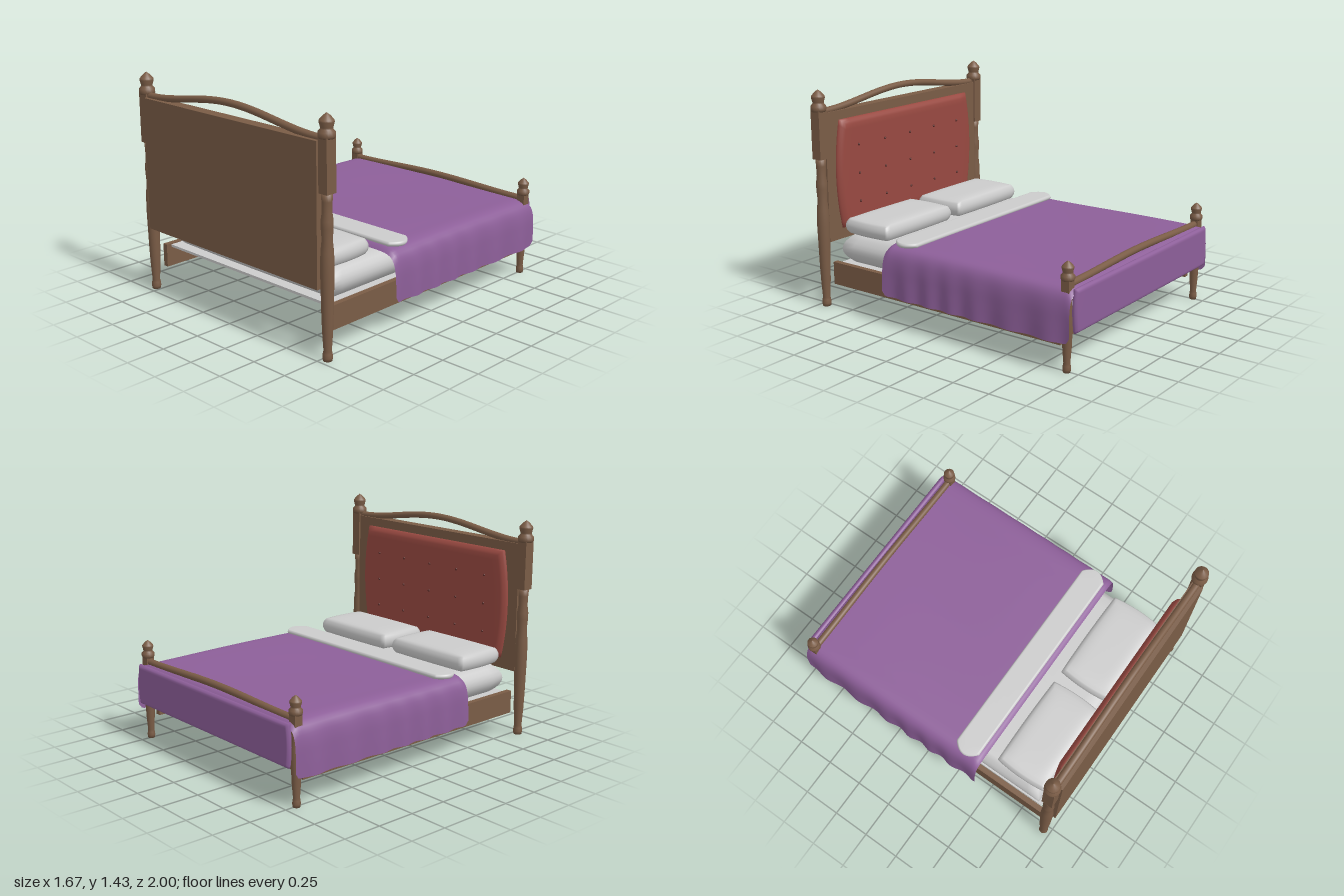
import * as THREE from 'three';
import { mergeVertices } from 'three/addons/utils/BufferGeometryUtils.js';

const paint = (color) => new THREE.MeshStandardMaterial({ color });
const wood = paint(0x7a5c46), red = paint(0x984941), linen = paint(0xcccccc), button = paint(0x5e2d29);
const purple = paint(0x8d5f99);
purple.side = THREE.DoubleSide;

export function createModel() {
  const bed = new THREE.Group();
  bed.name = 'bed';

  function add(name, geo, mat, x = 0, y = 0, z = 0, parent = bed) {
    const m = new THREE.Mesh(geo, mat);
    m.name = name;
    m.position.set(x, y, z);
    parent.add(m);
    return m;
  }
  const box = (name, w, h, d, mat, x, y, z, parent) =>
    add(name, new THREE.BoxGeometry(w, h, d), mat, x, y, z, parent);
  const turned = (points) =>
    new THREE.LatheGeometry(points.map(([r, y]) => new THREE.Vector2(r, y)), 20);

  // Stuffed slab: sides round outwards by edge, ends bow, faces fall off by dome
  function stuffed(w, h, d, { edge = 0.03, bowX = 0, bowZ = 0, dome = 0 }) {
    let g = new THREE.BoxGeometry(2, 2, 2, 20, 8, 20);
    g.deleteAttribute('uv');
    g.deleteAttribute('normal');
    g = mergeVertices(g);
    const p = g.attributes.position;
    for (let i = 0; i < p.count; i++) {
      const u = p.getX(i), t = p.getY(i), v = p.getZ(i);
      const inset = edge * t * t;
      const fall = 1 - dome * (1 - (1 - u ** 6) * (1 - v ** 6));
      p.setXYZ(i,
        u * (w / 2 - inset) * (1 - bowX * v * v),
        t * h / 2 * fall,
        v * (d / 2 - inset) * (1 - bowZ * u * u));
    }
    g.computeVertexNormals();
    return g;
  }

  // Gently arched round rail between two posts
  function archedRail(name, half, yEnd, rise, z, r) {
    const pts = [];
    for (let i = 0; i <= 16; i++) {
      const x = -half + 2 * half * i / 16;
      pts.push(new THREE.Vector3(x, yEnd + rise * (0.5 + 0.5 * Math.cos(Math.PI * x / half)), z));
    }
    add(name, new THREE.TubeGeometry(new THREE.CatmullRomCurve3(pts), 48, r, 12), wood);
  }

  // Pointed finial, k scales it
  const finial = (k) => turned([[0, -0.005], [0.044, -0.005], [0.05, 0.008], [0.05, 0.03], [0.036, 0.045],
    [0.036, 0.055], [0.044, 0.085], [0.042, 0.095], [0.02, 0.12], [0, 0.135]].map(([r, y]) => [r * k, y * k]));

  for (const s of [-1, 1]) {
    const side = s > 0 ? 'left' : 'right';

    // Tall head posts
    const head = new THREE.Group();
    head.name = side + 'HeadPost';
    head.position.set(s * 0.785, 0, 0.95);
    bed.add(head);
    add('turnedLeg', turned([[0, 0], [0.027, 0], [0.03, 0.02], [0.028, 0.045], [0.024, 0.06], [0.031, 0.17],
      [0.035, 0.28], [0.038, 0.42], [0.041, 0.55], [0.038, 0.65], [0.031, 0.72], [0.036, 0.79], [0.036, 0.83],
      [0.029, 0.88], [0.031, 0.94], [0.034, 0.985], [0, 0.985]]), wood, 0, 0, 0, head);
    box('postBlock', 0.07, 0.315, 0.072, wood, 0, 1.1425, 0, head);
    add('finial', finial(1), wood, 0, 1.297, 0, head);

    // Short foot posts
    const foot = new THREE.Group();
    foot.name = side + 'FootPost';
    foot.position.set(s * 0.755, 0, -0.925);
    bed.add(foot);
    add('turnedLeg', turned([[0, 0], [0.022, 0], [0.025, 0.02], [0.023, 0.04], [0.02, 0.055], [0.027, 0.15],
      [0.028, 0.19], [0.034, 0.27], [0.032, 0.35], [0.025, 0.41], [0.028, 0.47], [0, 0.47]]), wood, 0, 0, 0, foot);
    box('postBlock', 0.054, 0.1, 0.054, wood, 0, 0.51, 0, foot);
    add('finial', finial(0.82), wood, 0, 0.553, 0, foot);

    box(side + 'SideRail', 0.036, 0.15, 1.78, wood, s * 0.738, 0.225, 0.012);
  }

  // Headboard, arched rails and lower cross bar
  box('headboardPanel', 1.51, 0.85, 0.075, wood, 0, 0.853, 0.9625);
  archedRail('headboardRail', 0.76, 1.285, 0.075, 0.955, 0.022);
  archedRail('footRail', 0.74, 0.52, 0.02, -0.925, 0.022);
  box('footCrossBar', 1.48, 0.06, 0.035, wood, 0, 0.25, -0.92);

  // Upholstered headboard cushion with buttons
  add('headboardCushion', stuffed(1.36, 0.07, 0.72, { edge: 0.035, bowX: 0.06 }), red, 0, 0.86, 0.922)
    .rotation.x = Math.PI / 2;
  for (let row = 0; row < 3; row++) {
    for (let col = 0; col < 5; col++) {
      add('cushionButton', new THREE.SphereGeometry(0.009, 10, 6), button,
        (col - 2) * 0.25, 0.66 + row * 0.19, 0.887);
    }
  }

  // Base, mattress and bedding
  box('mattressBase', 1.43, 0.016, 1.78, linen, 0, 0.288, -0.02);
  add('mattress', stuffed(1.44, 0.19, 1.78, { edge: 0.06, bowZ: 0.01 }), linen, 0, 0.392, -0.03);
  for (const s of [-1, 1]) {
    add('pillow', stuffed(0.66, 0.122, 0.37, { edge: 0.018, bowX: 0.04, bowZ: 0.03, dome: 0.2 }),
      linen, s * 0.36, 0.536, 0.677);
  }
  add('foldedSheet', stuffed(1.55, 0.03, 0.175, { edge: 0.008, bowX: 0.07 }), linen, 0, 0.526, 0.295);

  // Draped blanket: rounded section swept along the bed, hanging sides ripple
  const half = [[0.826, 0.19], [0.822, 0.3], [0.815, 0.4], [0.8, 0.46], [0.775, 0.495], [0.735, 0.511], [0.6, 0.516]];
  const section = new THREE.CatmullRomCurve3([
    ...half.map(([x, y]) => new THREE.Vector3(-x, y, 0)),
    new THREE.Vector3(0, 0.516, 0),
    ...half.map(([x, y]) => new THREE.Vector3(x, y, 0)).reverse(),
  ]);
  const cloth = new THREE.PlaneGeometry(1, 1, 96, 72);
  const cp = cloth.attributes.position;
  for (let i = 0; i < cp.count; i++) {
    const q = section.getPointAt(THREE.MathUtils.clamp(cp.getX(i) + 0.5, 0, 1));
    const e = -cp.getY(i) * 2;
    const z = -0.28 + 0.695 * e;
    const hang = THREE.MathUtils.clamp((0.5 - q.y) / 0.31, 0, 1);
    const end = Math.max(0, Math.abs(e) - 0.95) / 0.05;
    const ripple = 0.009 * hang * Math.sin(z * 30 + 1.5 * Math.sin(z * 5));
    q.x += Math.sign(q.x) * (ripple - 0.008 * hang);
    q.y += 0.035 * end * end * (hang > 0.85 ? (hang - 0.85) / 0.15 : 0);
    q.y -= 0.025 * end * end * (1 - hang);
    cp.setXYZ(i, q.x, q.y + 0.003 * (1 - hang) * Math.sin(z * 4 + q.x * 3), z);
  }
  cloth.computeVertexNormals();
  add('blanket', cloth, purple);

  // Blanket end hanging over the foot
  add('blanketFootFlap', stuffed(1.55, 0.04, 0.265, { edge: 0.015, bowX: 0.015 }), purple, 0, 0.378, -0.98)
    .rotation.x = Math.PI / 2;

  return bed;
}
